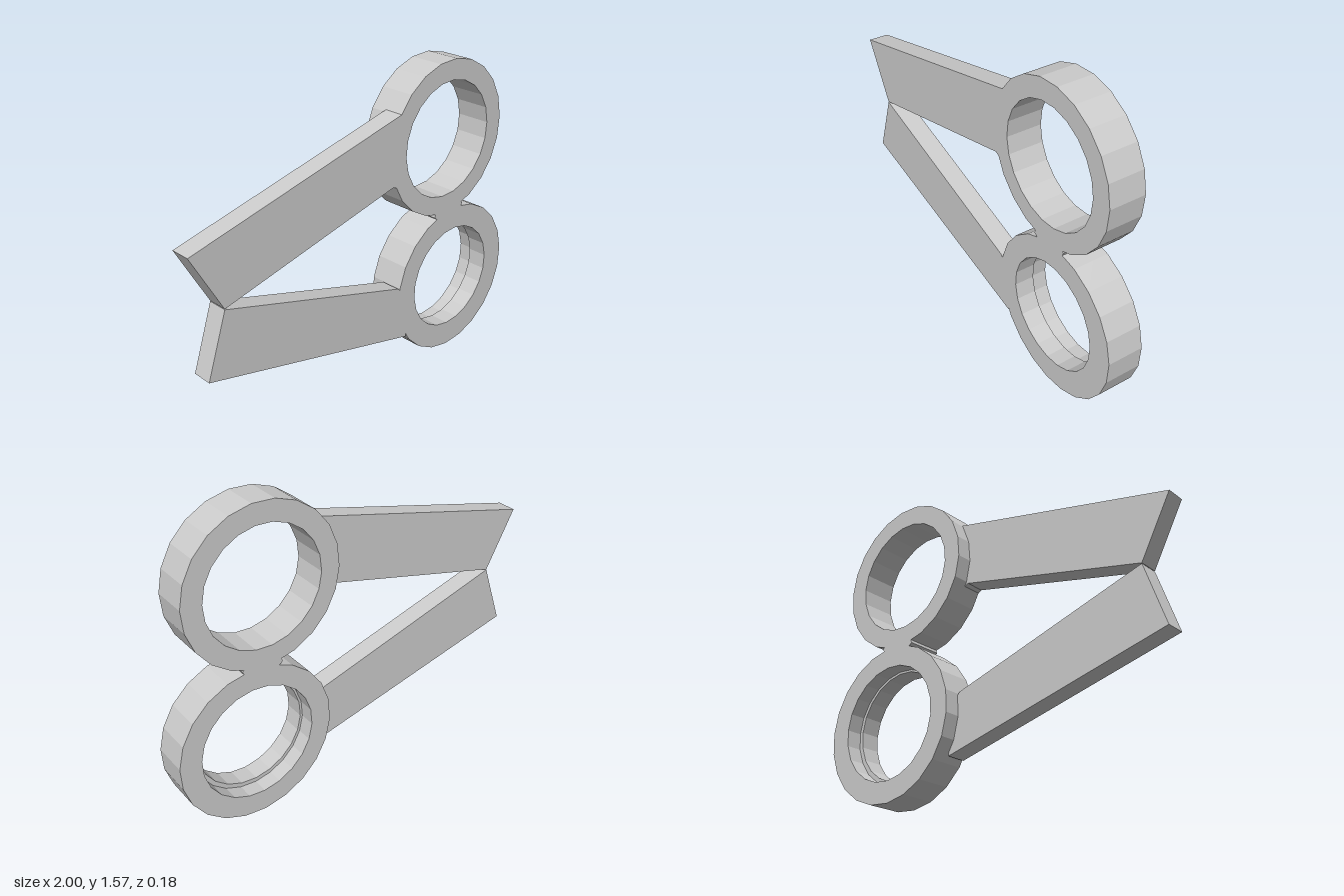
import * as THREE from 'three';

const FRONT = 0.09, STEP = -0.01, BACK = -0.09;
const SIDES = 22;

// Corners of a regular polygon, turned by a phase in degrees
function ringPoints(x, y, r, phase) {
  return Array.from({ length: SIDES }, (_, i) => {
    const a = THREE.MathUtils.degToRad(phase) + (i / SIDES) * Math.PI * 2;
    return new THREE.Vector2(x + r * Math.cos(a), y + r * Math.sin(a));
  });
}

export function createModel() {
  const model = new THREE.Group();
  const material = new THREE.MeshStandardMaterial({ color: 0xcccccc, flatShading: true });

  // Flat outline, with an optional hole, extruded between two depths
  function plate(name, points, z0, z1, hole) {
    const shape = new THREE.Shape(points);
    if (hole) shape.holes.push(new THREE.Path(hole));
    const geometry = new THREE.ExtrudeGeometry(shape, { depth: z1 - z0, bevelEnabled: false });
    geometry.translate(0, 0, z0);
    const mesh = new THREE.Mesh(geometry, material);
    mesh.name = name;
    model.add(mesh);
  }
  const corners = (list) => list.map(([x, y]) => new THREE.Vector2(x, y));

  // Finger loops; the lower one has a narrower hole in its front layer
  plate('upperFingerLoop', ringPoints(0.533, 1.181, 0.39, 3), BACK, FRONT,
    ringPoints(0.53, 1.178, 0.292, 3));
  plate('lowerFingerLoopFront', ringPoints(0.603, 0.4, 0.397, 5), STEP, FRONT,
    ringPoints(0.596, 0.408, 0.275, 5));
  plate('lowerFingerLoopBack', ringPoints(0.603, 0.4, 0.397, 5), BACK, STEP,
    ringPoints(0.6, 0.403, 0.291, 5));

  // Small web joining the loops
  plate('loopBridge', corners([[0.455, 0.785], [0.5, 0.75], [0.64, 0.76], [0.66, 0.808], [0.6, 0.84], [0.47, 0.83]]),
    BACK, FRONT);

  // Blunt shanks, only as thick as the front layer, meeting at one tip corner
  plate('upperShank', corners([[-1, 1.09], [-0.84, 0.798], [0.155, 1.04], [0.2, 1.02], [0.21, 1.385]]),
    STEP, FRONT);
  plate('lowerShank', corners([[-0.945, 0.482], [0.265, 0.185], [0.26, 0.42], [0.2, 0.485], [-0.84, 0.795]]),
    STEP, FRONT);

  return model;
}
